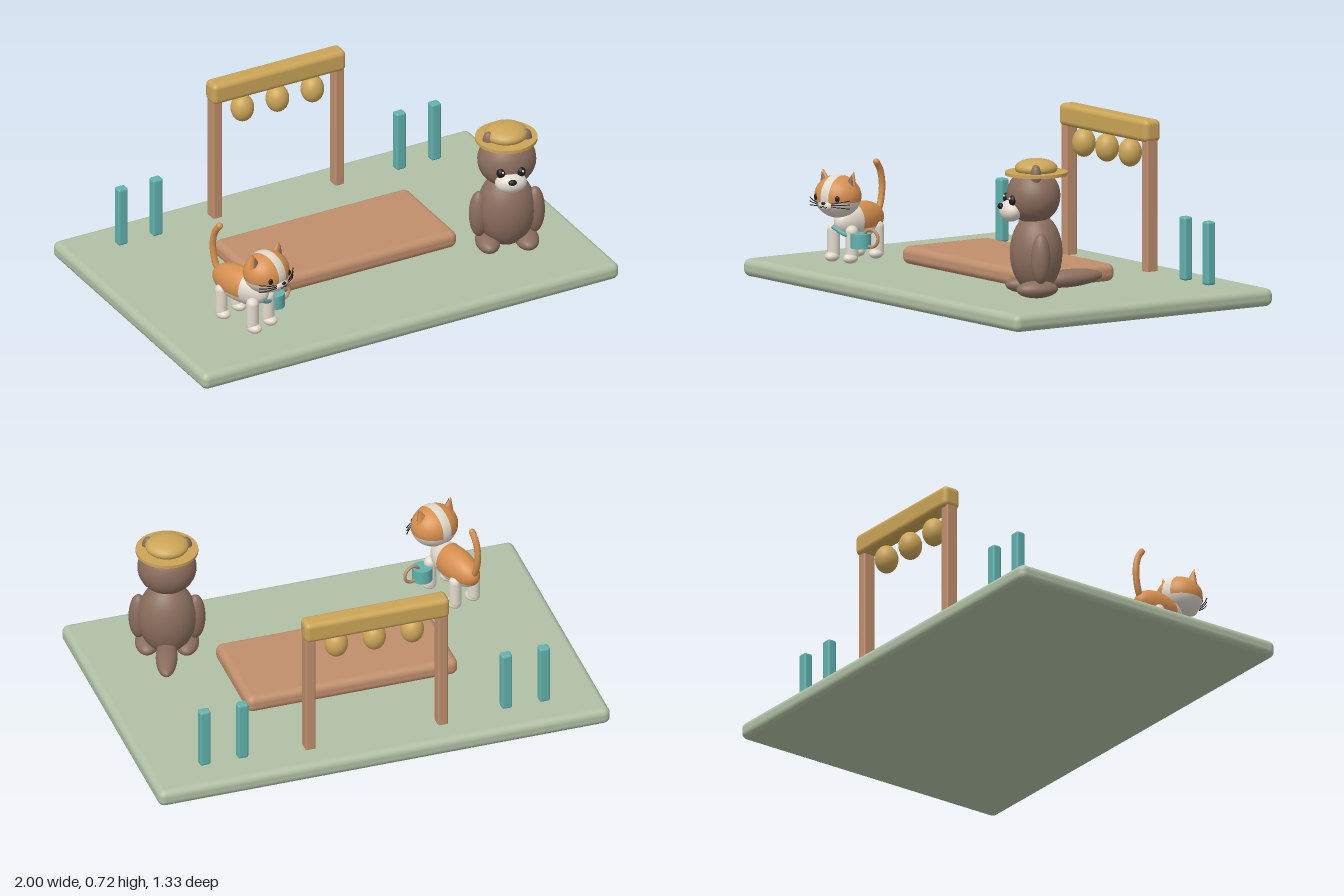
import * as THREE from 'three';
import { RoundedBoxGeometry } from 'three/addons/geometries/RoundedBoxGeometry.js';

const mat = (name, color, opts = {}) => {
  const m = new THREE.MeshStandardMaterial({ color, ...opts });
  m.name = name;
  return m;
};

export function createModel() {
  const sage = mat('sage', 0xb0c0a4);
  const wood = mat('wood', 0xc08f6c);
  const gold = mat('gold', 0xcba557);
  const teal = mat('teal', 0x60b2ae);
  const brown = mat('brown', 0x8a6d5d);
  const cream = mat('cream', 0xe2dacd, { side: THREE.DoubleSide });
  const orange = mat('orange', 0xd68f4e, { side: THREE.DoubleSide });
  const black = mat('black', 0x1d1b1b);

  const model = new THREE.Group();
  const add = (parent, name, geo, material, x = 0, y = 0, z = 0) => {
    const m = new THREE.Mesh(geo, material);
    m.name = name;
    m.position.set(x, y, z);
    parent.add(m);
    return m;
  };
  const group = (name, x, y, z, turn) => {
    const g = new THREE.Group();
    g.name = name;
    g.position.set(x, y, z);
    g.rotation.y = turn;
    model.add(g);
    return g;
  };
  const box = (name, w, h, d, r, material, x, y, z) =>
    add(model, name, new RoundedBoxGeometry(w, h, d, 4, r), material, x, y, z);
  const ball = (parent, name, rx, ry, rz, material, x, y, z) =>
    add(parent, name, new THREE.SphereGeometry(1, 28, 18).scale(rx, ry, rz), material, x, y, z);
  const tube = (parent, name, pts, r, material, n = 24) =>
    add(parent, name, new THREE.TubeGeometry(
      new THREE.CatmullRomCurve3(pts.map(p => new THREE.Vector3(...p))), n, r, 10), material);

  // Ground and stage
  box('ground', 2, 0.076, 1.33, 0.03, sage, 0, 0.038, 0);
  box('stage', 0.935, 0.076, 0.45, 0.03, wood, -0.002, 0.117, -0.003);

  // Lantern frame
  for (const s of [-1, 1]) box('framePost', 0.045, 0.58, 0.056, 0.008, wood, s * 0.293, 0.36, -0.522);
  box('frameBeam', 0.64, 0.095, 0.082, 0.022, gold, 0, 0.672, -0.524);
  for (const x of [-0.168, 0, 0.168]) ball(model, 'lantern', 0.05, 0.061, 0.05, gold, x, 0.567, -0.51);

  // Short fence posts
  for (const x of [-0.753, -0.586, 0.582, 0.75])
    box('fencePost', 0.047, 0.27, 0.042, 0.01, teal, x, 0.21, -0.503);

  // Sitting animal with a straw hat
  const otter = group('sittingAnimal', 0.645, 0, 0.312, -0.33);
  ball(otter, 'body', 0.125, 0.17, 0.11, brown, 0, 0.27, 0);
  ball(otter, 'head', 0.125, 0.118, 0.113, brown, 0, 0.513, 0.012);
  const tail = ball(otter, 'tail', 0.046, 0.038, 0.15, brown, 0, 0.155, -0.14);
  tail.rotation.x = 0.06;
  for (const s of [-1, 1]) {
    ball(otter, 'arm', 0.042, 0.107, 0.041, brown, s * 0.12, 0.26, 0.015);
    ball(otter, 'foot', 0.052, 0.037, 0.09, brown, s * 0.083, 0.126, 0.02);
    ball(otter, 'ear', 0.026, 0.045, 0.023, brown, s * 0.08, 0.61, 0.025);
    ball(otter, 'eye', 0.019, 0.022, 0.017, black, s * 0.043, 0.502, 0.115);
    ball(otter, 'eyeGlint', 0.005, 0.005, 0.005, cream, s * 0.043 + 0.006, 0.511, 0.13);
  }
  ball(otter, 'muzzle', 0.068, 0.046, 0.046, cream, 0, 0.453, 0.112);
  ball(otter, 'nose', 0.018, 0.013, 0.012, black, 0, 0.474, 0.156);
  add(otter, 'hatBrim', new THREE.CylinderGeometry(0.132, 0.132, 0.014, 36), gold, 0, 0.608, 0);
  ball(otter, 'hatCrown', 0.092, 0.04, 0.09, gold, 0, 0.63, 0);

  // Standing cat
  const cat = group('cat', -0.62, 0, 0.36, 0.31);
  const shell = (name, start, len, size, material, x, y, z, turn) => {
    const g = new THREE.SphereGeometry(1, 28, 16, 0, Math.PI * 2, start, len);
    if (turn === 'x') g.rotateZ(Math.PI / 2);
    if (turn === 'z') g.rotateX(Math.PI / 2);
    return add(cat, name, g.scale(...size), material, x, y, z);
  };
  // Torso: orange back, cream belly and chest
  shell('back', 0, 1.95, [0.067, 0.078, 0.15], orange, 0, 0.255, -0.045);
  shell('belly', 1.95, Math.PI - 1.95, [0.067, 0.078, 0.15], cream, 0, 0.255, -0.045);
  shell('chest', 0, 1.25, [0.069, 0.08, 0.152], cream, 0, 0.255, -0.045, 'z');
  // Head: orange cap, cream jaw and centre stripe
  const hs = [0.103, 0.09, 0.094];
  shell('headTop', 0, 1.78, hs, orange, 0, 0.372, 0.105);
  shell('jaw', 1.78, Math.PI - 1.78, hs, cream, 0, 0.372, 0.105);
  shell('headStripe', Math.PI / 2 - 0.2, 0.4, hs.map(v => v * 1.015), cream, 0, 0.372, 0.105, 'x');
  ball(cat, 'muzzle', 0.034, 0.022, 0.02, cream, 0, 0.34, 0.188);
  ball(cat, 'nose', 0.01, 0.007, 0.007, black, 0, 0.352, 0.207);
  for (const s of [-1, 1]) {
    const ear = add(cat, 'ear', new THREE.ConeGeometry(0.034, 0.08, 20).scale(1, 1, 0.6), orange, s * 0.072, 0.445, 0.1);
    ear.rotation.z = -s * 0.25;
    const inner = add(cat, 'innerEar', new THREE.ConeGeometry(0.024, 0.06, 20).scale(1, 1, 0.5), brown, s * 0.072, 0.442, 0.112);
    inner.rotation.z = -s * 0.25;
    ball(cat, 'eye', 0.011, 0.014, 0.008, black, s * 0.055, 0.372, 0.182);
    for (const k of [-1, 0, 1])
      tube(cat, 'whisker', [[s * 0.035, 0.345 + k * 0.006, 0.198], [s * 0.07, 0.347 + k * 0.011, 0.185],
        [s * 0.105, 0.349 + k * 0.017, 0.16]], 0.002, black, 6);
    tube(cat, 'mouth', [[0, 0.342, 0.209], [s * 0.009, 0.334, 0.208], [s * 0.019, 0.338, 0.204]], 0.002, black, 6);
    for (const z of [0.07, -0.11]) {
      add(cat, 'leg', new THREE.CapsuleGeometry(0.027, 0.1, 6, 18), cream, s * 0.048, 0.17, z);
      ball(cat, 'paw', 0.029, 0.022, 0.035, cream, s * 0.048, 0.108, z + 0.01);
    }
  }
  tube(cat, 'tail', [[0, 0.25, -0.15], [0, 0.29, -0.185], [0, 0.38, -0.205], [0, 0.45, -0.19], [0, 0.485, -0.165]], 0.014, orange);
  ball(cat, 'tailTip', 0.014, 0.014, 0.014, orange, 0, 0.485, -0.165);

  // Watering can beside the cat
  add(cat, 'can', new THREE.CylinderGeometry(0.043, 0.043, 0.062, 28), teal, 0.092, 0.185, 0.066);
  tube(cat, 'canSpout', [[0.06, 0.198, 0.075], [0.02, 0.215, 0.098], [-0.028, 0.24, 0.105]], 0.009, teal, 12);
  add(cat, 'canHandle', new THREE.TorusGeometry(0.037, 0.007, 10, 30), wood, 0.145, 0.2, 0.066);

  return model;
}
